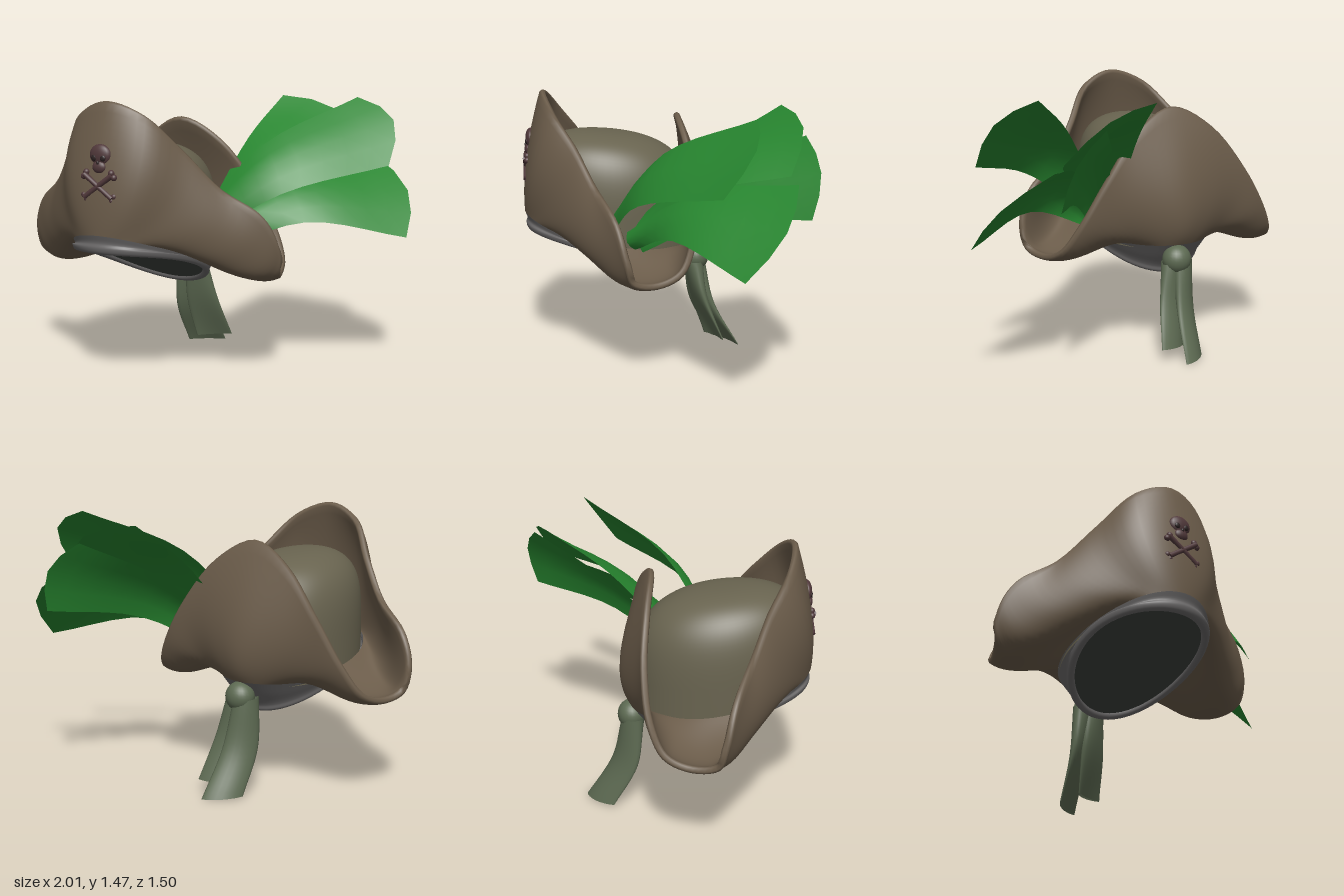
import * as THREE from 'three';

const CX = -0.24; // hat's middle line
const V = (x, y, z) => new THREE.Vector3(x, y, z);
const mat = (color) => new THREE.MeshStandardMaterial({ color, side: THREE.DoubleSide, roughness: 0.8 });
const MAT = {
  brim: mat(0x6b5c4a), crown: mat(0x68634f), band: mat(0x6a6868), lining: mat(0x3c403c), cloth: mat(0x5d6a52),
  emblem: mat(0x50383a), dark: mat(0x2c2222), feather: mat(0x27852f),
};

function add(parent, geometry, material, name) {
  const m = new THREE.Mesh(geometry, material);
  m.name = name;
  parent.add(m);
  return m;
}

// Smooth surface from fn(u, v); u may wrap round
function surface(fn, nu, nv, closed) {
  const pos = [], idx = [], cols = closed ? nu : nu + 1;
  for (let j = 0; j <= nv; j++)
    for (let i = 0; i < cols; i++) pos.push(...fn(i / nu, j / nv).toArray());
  for (let j = 0; j < nv; j++)
    for (let i = 0; i < nu; i++) {
      const k = (i + 1) % cols;
      const a = j * cols + i, b = j * cols + k, c = a + cols, d = b + cols;
      idx.push(a, b, d, a, d, c);
    }
  const g = new THREE.BufferGeometry();
  g.setAttribute('position', new THREE.Float32BufferAttribute(pos, 3));
  g.setIndex(idx);
  g.computeVertexNormals();
  return g;
}

const curve3 = (pts) => new THREE.CatmullRomCurve3(pts.map((p) => V(...p)));

// Closed loop from half a loop (front to back), mirrored across the middle line
function mirroredLoop(half) {
  const pts = half.map((p) => V(...p));
  for (let i = half.length - 2; i > 0; i--) pts.push(V(-half[i][0], half[i][1], half[i][2]));
  return new THREE.CatmullRomCurve3(pts, true);
}

// Where the brim meets the head band
function root(u) {
  const t = u * Math.PI * 2, c = Math.cos(t);
  return V(0.345 * Math.sin(t), 0.6 + 0.2 * ((1 + c) / 2) ** 2, 0.275 + 0.48 * c);
}

// Lower opening of the head band, tilted down to the back
function opening(u) {
  const t = u * Math.PI * 2, c = Math.cos(t), s = Math.sin(t);
  return V(0.335 * s, 0.56 + 0.14 * c + 0.05 * s * s, 0.33 + 0.41 * c);
}

// Widen or narrow a ring point about the band's middle
const grow = (p, s) => V(p.x * s, p.y, 0.3 + (p.z - 0.3) * s);
const raise = (p, d) => p.setY(p.y + d);

// Folded-up brim: root, belly and rim loops, with a rounded edge and an inner face
function brimGeometry() {
  const belly = mirroredLoop([
    [0, 1.1, 0.74], [0.2, 1.08, 0.7], [0.34, 0.97, 0.57], [0.48, 0.82, 0.46], [0.58, 0.67, 0.36],
    [0.62, 0.56, 0.27], [0.58, 0.53, 0.19], [0.53, 0.53, 0.08], [0.5, 0.56, -0.04],
    [0.44, 0.66, -0.13], [0.33, 0.76, -0.17], [0.18, 0.85, -0.22], [0, 0.88, -0.25]]);
  const rim = mirroredLoop([
    [0, 1.46, 0.66], [0.2, 1.39, 0.61], [0.35, 1.21, 0.48], [0.51, 1.01, 0.37], [0.69, 0.87, 0.28],
    [0.76, 0.71, 0.235], [0.745, 0.575, 0.195], [0.69, 0.535, 0.06], [0.64, 0.59, -0.08],
    [0.56, 0.74, -0.15], [0.42, 0.97, -0.17], [0.23, 1.21, -0.14], [0, 1.33, -0.105]]);
  const outer = (u, v) => {
    u = (u + 1) % 1;
    const a = root(u), b = belly.getPoint(u), c = rim.getPoint(u);
    const ctrl = b.multiplyScalar(2).addScaledVector(a, -0.5).addScaledVector(c, -0.5);
    return new THREE.QuadraticBezierCurve3(a, ctrl, c).getPoint(v);
  };
  const thick = 0.035, N = 18;
  return surface((u, w) => {
    const row = Math.round(w * (2 * N + 3));
    const v = row <= N ? row / N : row < N + 3 ? 1 : (2 * N + 3 - row) / N;
    const p = outer(u, v);
    if (row <= N) return p;
    const du = outer(u + 0.004, v).sub(outer(u - 0.004, v));
    const dv = outer(u, v + 0.01).sub(outer(u, v - 0.01));
    const n = du.cross(dv).normalize();
    dv.normalize();
    const k = row - N; // steps 1 and 2 round the edge
    if (k === 1) return p.addScaledVector(n, -thick * 0.25).addScaledVector(dv, 0.013);
    if (k === 2) return p.addScaledVector(n, -thick * 0.75).addScaledVector(dv, 0.013);
    return p.addScaledVector(n, -thick);
  }, 120, 2 * N + 3, true);
}

// Domed crown, its flattened top sloping down to the back
function crownGeometry() {
  return surface((u, v) => {
    const t = u * Math.PI * 2, f = (1 - v) * Math.PI / 2;
    const r = Math.sin(f) ** 0.8, h = Math.max(0, Math.cos(f)) ** 0.42;
    const z = 0.27 + 0.45 * r * Math.cos(t);
    const top = 1.24 + 0.1 * (z - 0.26), base = root(u).y - 0.02;
    return V(0.342 * r * Math.sin(t), base + (top - base) * h, z);
  }, 64, 24, true);
}

// Head band: rolled hem and outside wall
function bandGeometry() {
  return surface((u, v) => {
    const o = opening(u), r = root(u);
    const rows = [raise(grow(o, 0.9), 0.05), raise(grow(o, 0.91), 0.012), grow(o, 0.96),
      raise(grow(o, 1.0), 0.008), raise(grow(o, 1.02), 0.035), grow(o.clone().lerp(r, 0.6), 0.985), r];
    return new THREE.CatmullRomCurve3(rows).getPoint(v);
  }, 64, 24, true);
}

// Lining closing the band just above the hem
function liningGeometry() {
  const centre = V(0, 0.605, 0.33);
  return surface((u, v) => raise(grow(opening(u), 0.92), 0.025).lerp(centre, 1 - v), 64, 4, true);
}

// Broad feather between two edge curves, with an arched blade and blunt tip
function featherGeometry(left, right, bulge) {
  const L = curve3(left), R = curve3(right);
  return surface((u, v) => {
    const a = L.getPoint(v), b = R.getPoint(v);
    const along = L.getTangent(v).add(R.getTangent(v)).normalize();
    const n = b.clone().sub(a).cross(along).normalize();
    const s = Math.sin(Math.PI * u);
    return a.lerp(b, u).addScaledVector(along, bulge * s * v ** 3).addScaledVector(n, 0.03 * s);
  }, 4, 10, false);
}

// Flattened cloth tail between two edge curves, with a lengthwise fold
function tailGeometry(left, right) {
  const L = curve3(left), R = curve3(right);
  return surface((u, v) => {
    const t = u * Math.PI * 2, a = L.getPoint(v), b = R.getPoint(v);
    const fold = 0.01 * Math.cos(t * 2) * v;
    const depth = Math.sin(t) * 0.045 * (1 - 0.8 * v) + fold;
    return a.lerp(b, 0.5 - 0.5 * Math.cos(t)).add(V(depth * 0.6, 0, depth));
  }, 20, 14, true);
}

function buildEmblem() {
  const g = new THREE.Group();
  g.name = 'skullEmblem';
  const ball = new THREE.SphereGeometry(1, 20, 14);
  const blob = (name, m, x, y, z, sx, sy, sz) => {
    const b = add(g, ball, m, name);
    b.position.set(x, y, z);
    b.scale.set(sx, sy, sz);
  };
  blob('skull', MAT.emblem, 0, 1.205, 0.715, 0.062, 0.055, 0.028);
  blob('jaw', MAT.emblem, 0, 1.145, 0.727, 0.04, 0.033, 0.022);
  blob('nose', MAT.dark, 0, 1.168, 0.743, 0.008, 0.01, 0.006);
  for (const s of [-1, 1]) {
    blob('eyeSocket', MAT.dark, s * 0.025, 1.192, 0.736, 0.017, 0.016, 0.008);
    // Crossed bones with knobbed ends
    const bone = new THREE.Group();
    bone.name = 'crossBone';
    bone.position.set(0, 1.05, 0.743);
    bone.rotation.z = s * 0.95;
    add(bone, new THREE.CylinderGeometry(0.014, 0.014, 0.2, 10), MAT.emblem, 'boneShaft');
    for (const e of [-1, 1])
      for (const k of [-1, 1]) {
        const knob = add(bone, ball, MAT.emblem, 'boneKnob');
        knob.scale.setScalar(0.017);
        knob.position.set(k * 0.013, e * 0.1, -0.01);
      }
    g.add(bone);
  }
  return g;
}

export function createModel() {
  const model = new THREE.Group();
  model.name = 'featheredHat';

  const hat = new THREE.Group();
  hat.name = 'hat';
  hat.position.x = CX;
  add(hat, brimGeometry(), MAT.brim, 'brim');
  add(hat, crownGeometry(), MAT.crown, 'crown');
  add(hat, bandGeometry(), MAT.band, 'headBand');
  add(hat, liningGeometry(), MAT.lining, 'lining');
  hat.add(buildEmblem());
  model.add(hat);

  // Knot and two tails at the back
  const knot = add(model, new THREE.SphereGeometry(1, 24, 16), MAT.cloth, 'knot');
  knot.position.set(-0.22, 0.52, -0.195);
  knot.scale.set(0.08, 0.08, 0.075);
  add(model, tailGeometry([[-0.31, 0.52, -0.15], [-0.325, 0.25, -0.18], [-0.32, 0.015, -0.31]],
    [[-0.2, 0.5, -0.23], [-0.18, 0.25, -0.3], [-0.155, 0.005, -0.45]]), MAT.cloth, 'longTail');
  add(model, tailGeometry([[-0.25, 0.52, -0.15], [-0.26, 0.3, -0.18], [-0.24, 0.06, -0.26]],
    [[-0.14, 0.5, -0.21], [-0.1, 0.3, -0.25], [-0.06, 0.07, -0.35]]), MAT.cloth, 'shortTail');

  // Fan of feathers tucked in the left side of the brim
  const feathers = [
    [[[0, 0.84, 0.06], [0.07, 1.22, -0.3], [0.13, 1.435, -0.61]],
      [[0.1, 0.74, 0.17], [0.41, 1.03, -0.14], [0.62, 1.16, -0.59]], 0.11],
    [[[0.05, 0.85, 0.25], [0.32, 1.22, 0.02], [0.67, 1.455, -0.41]],
      [[0.12, 0.75, 0.28], [0.5, 0.99, 0.16], [0.93, 1.12, -0.22]], 0.12],
    [[[0.1, 0.75, 0.2], [0.35, 1.03, -0.15], [0.68, 1.13, -0.62]],
      [[0.13, 0.66, 0.16], [0.55, 0.82, -0.01], [1.0, 0.73, -0.32]], 0.1],
    [[[0.07, 0.76, 0.13], [0.22, 1.12, -0.3], [0.44, 1.33, -0.69]],
      [[0.12, 0.64, 0.12], [0.4, 0.88, -0.25], [0.68, 0.95, -0.69]], 0.08],
  ];
  for (const f of feathers) add(model, featherGeometry(...f), MAT.feather, 'feather');

  return model;
}
